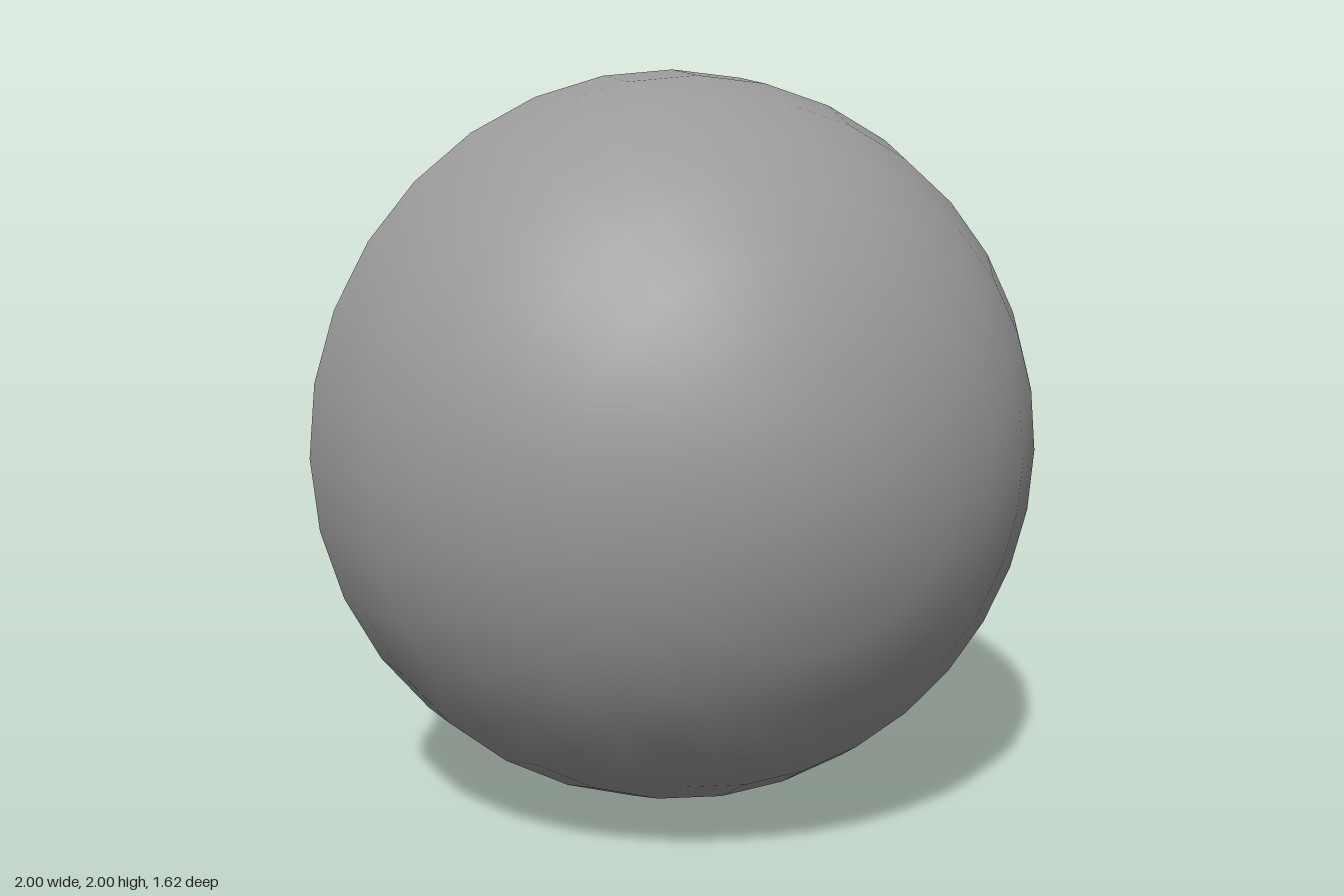
import * as THREE from 'three';
import { toCreasedNormals, mergeGeometries } from 'three/addons/utils/BufferGeometryUtils.js';

const material = new THREE.MeshStandardMaterial({ color: 0x9a9a9a });
const rad = THREE.MathUtils.degToRad;

function part(name, geometry, parent) {
  const mesh = new THREE.Mesh(geometry, material);
  mesh.name = name;
  parent.add(mesh);
  return mesh;
}

// Points [radius, height] on a circle, angles in degrees measured from the +y pole
function arc(r, from, to, steps) {
  return Array.from({ length: steps + 1 }, (_, i) => {
    const a = rad(from + (to - from) * i / steps);
    return [Math.max(0, r * Math.sin(a)), r * Math.cos(a)];
  });
}

function lathe(points, segments = 32, start = 0, length = Math.PI * 2) {
  const profile = points.map(([x, y]) => new THREE.Vector2(x, y));
  return toCreasedNormals(new THREE.LatheGeometry(profile, segments, start, length), 0.3);
}

function tube(points, radius, steps) {
  return new THREE.TubeGeometry(new THREE.CatmullRomCurve3(points), steps, radius, 10);
}

// Flat tapering branch with a rounded tip, following a few 2D points
function branch(points, width, tip) {
  const curve = new THREE.SplineCurve(points.map(([x, y]) => new THREE.Vector2(x, y)));
  const left = [], right = [], n = 8;
  for (let i = 0; i <= n; i++) {
    const t = i / n, p = curve.getPoint(t), d = curve.getTangent(t);
    const w = width / 2 * (1 + (tip - 1) * t);
    left.push(new THREE.Vector2(p.x - d.y * w, p.y + d.x * w));
    right.unshift(new THREE.Vector2(p.x + d.y * w, p.y - d.x * w));
    if (i === n) {
      for (const a of [60, 30, 0, -30, -60]) {
        const c = Math.cos(rad(a)) * w, s = Math.sin(rad(a)) * w;
        left.push(new THREE.Vector2(p.x + d.x * c - d.y * s, p.y + d.y * c + d.x * s));
      }
    }
  }
  const shape = new THREE.Shape([...left, ...right]);
  return new THREE.ExtrudeGeometry(shape, { depth: 0.02, bevelEnabled: false }).translate(0, 0, -0.01);
}

// Plant standing on the floor, its flat side running from one floor point [x, z] to another
function plant(name, from, to, branches, parent) {
  const mesh = part(name, mergeGeometries(branches.map(([pts, w, tip]) => branch(pts, w, tip))), parent);
  mesh.position.set(from[0], -0.615, from[1]);
  mesh.rotation.y = Math.atan2(from[1] - to[1], to[0] - from[0]);
}

export function createModel() {
  const model = new THREE.Group();
  model.name = 'sphericalDisplayCase';
  const body = new THREE.Group();
  body.name = 'body';
  body.position.set(0, 1, -0.19);
  model.add(body);

  // Outer front half shell with a rounded rim
  const rim = [1, 2, 3].map(i => [
    0.977 - 0.023 * Math.cos(i * Math.PI / 4), 0.018 - 0.018 * Math.sin(i * Math.PI / 4),
  ]);
  const front = part('frontShell', lathe([...arc(0.954, 0, 89, 8), ...rim, ...arc(1, 89, 0, 8)]), body);
  front.geometry.rotateX(Math.PI / 2);
  front.rotation.y = 0.0175;

  // Inner turning shell, open over a wedge at the back
  const half = 52.8, hub = 9.6;
  const R = 0.931, r = 0.898, mid = (R + r) / 2, bead = 0.02;
  const wallStart = rad(180 + half), wallLength = rad(360 - 2 * half);
  part('turningShellOutside', lathe(arc(R, 180 - hub, hub, 15), 24, wallStart, wallLength), body);
  part('turningShellInside', lathe(arc(r, hub, 180 - hub, 15), 24, wallStart, wallLength), body);

  // Beaded edge around the opening, with the two hubs left standing at the poles
  const onShell = (theta, azimuth) =>
    new THREE.Vector3().setFromSphericalCoords(mid, rad(theta), rad(azimuth));
  for (const side of [-1, 1]) {
    const points = Array.from({ length: 16 }, (_, i) => onShell(hub + (180 - 2 * hub) * i / 15, 180 + side * half));
    part('openingSideEdge', tube(points, bead, 45), body);
    for (const end of [points[0], points[15]]) {
      part('openingCorner', new THREE.SphereGeometry(bead, 12, 8), body).position.copy(end);
    }
  }
  for (const top of [true, false]) {
    const theta = top ? hub : 180 - hub;
    const points = Array.from({ length: 9 }, (_, i) => onShell(theta, 180 - half + 2 * half * i / 8));
    part('hubEdge', tube(points, bead, 16), body);
    part('hubOutside', lathe(top ? arc(R, hub, 0, 2) : arc(R, 180, 180 - hub, 2)), body);
    part('hubInside', lathe(top ? arc(r, 0, hub, 2) : arc(r, 180 - hub, 180, 2)), body);
  }

  // Domed ceiling with a stepped flange and recessed plate
  part('ceilingDome', lathe([
    [0, 0.6], [0.555, 0.6], [0.555, 0.615], [0.572, 0.615], [0.572, 0.642],
    [0.62, 0.642], [0.62, 0.65], [0.612, 0.656], [0.588, 0.656], ...arc(0.89, 41.1, 0, 8),
  ]), body);

  // Bowl with the raised floor
  part('floorBowl', lathe([
    ...arc(0.885, 180, 137.3, 8), [0.6, -0.64], [0.55, -0.64], [0.55, -0.6],
    [0.53, -0.6], [0.53, -0.615], [0, -0.615],
  ]), body);

  // Ceiling lamp rings and floor studs
  for (const [x, z] of [[0.01, -0.3], [-0.26, 0.045], [0.26, 0.045]]) {
    const lamp = part('lampRing', lathe([
      [0.056, 0], [0.056, -0.016], [0.068, -0.016], [0.068, 0],
    ], 24), body);
    lamp.position.set(x, 0.601, z);
  }
  for (const [x, z] of [[0, -0.38], [0.296, 0.21], [-0.296, 0.21]]) {
    const stud = part('floorStud', lathe([
      [0.02, 0], [0.02, 0.014], [0.012, 0.014], [0.012, 0.002], [0, 0.002],
    ], 24), body);
    stud.position.set(x, -0.616, z);
  }

  // Flat water plants
  plant('tallPlant', [0.41, 0.025], [0.35, 0.23], [
    [[[0.01, 0.05], [0.1, 0.055], [0.2, 0.05]], 0.1, 1],
    [[[0.12, 0], [0.14, 0.15], [0.17, 0.28], [0.18, 0.38], [0.24, 0.535]], 0.075, 0.6],
    [[[0.17, 0.3], [0.165, 0.38], [0.15, 0.48]], 0.04, 0.7],
    [[[0.05, 0], [0.065, 0.18], [0.04, 0.26], [0.07, 0.375]], 0.07, 0.5],
    [[[0.06, 0.15], [0.1, 0.18], [0.15, 0.2]], 0.06, 1],
    [[[0.05, 0.05], [-0.005, 0.07], [-0.015, 0.125]], 0.05, 0.6],
    [[[0.17, 0.03], [0.2, 0.11], [0.25, 0.17]], 0.06, 0.6],
  ], body);
  plant('smallPlant', [0.34, 0.27], [0.13, 0.34], [
    [[[0.01, 0.02], [0.1, 0.025], [0.22, 0.02]], 0.045, 1],
    [[[0.06, 0.02], [0.025, 0.06], [0.025, 0.13]], 0.04, 0.6],
    [[[0.1, 0.03], [0.075, 0.09], [0.1, 0.15]], 0.035, 0.6],
    [[[0.15, 0.03], [0.18, 0.1], [0.145, 0.185]], 0.045, 0.8],
    [[[0.175, 0.08], [0.2, 0.14], [0.24, 0.2]], 0.045, 0.8],
    [[[0.2, 0.02], [0.24, 0.025], [0.265, 0.05]], 0.03, 0.8],
  ], body);
  plant('forkedPlant', [-0.3, 0.22], [-0.45, 0.13], [
    [[[0.1, 0], [0.095, 0.25], [0.11, 0.52]], 0.08, 0.9],
    [[[0.11, 0.49], [0.07, 0.57], [0.02, 0.63]], 0.06, 0.9],
    [[[0.11, 0.49], [0.145, 0.61], [0.185, 0.715]], 0.075, 1],
  ], body);

  return model;
}
